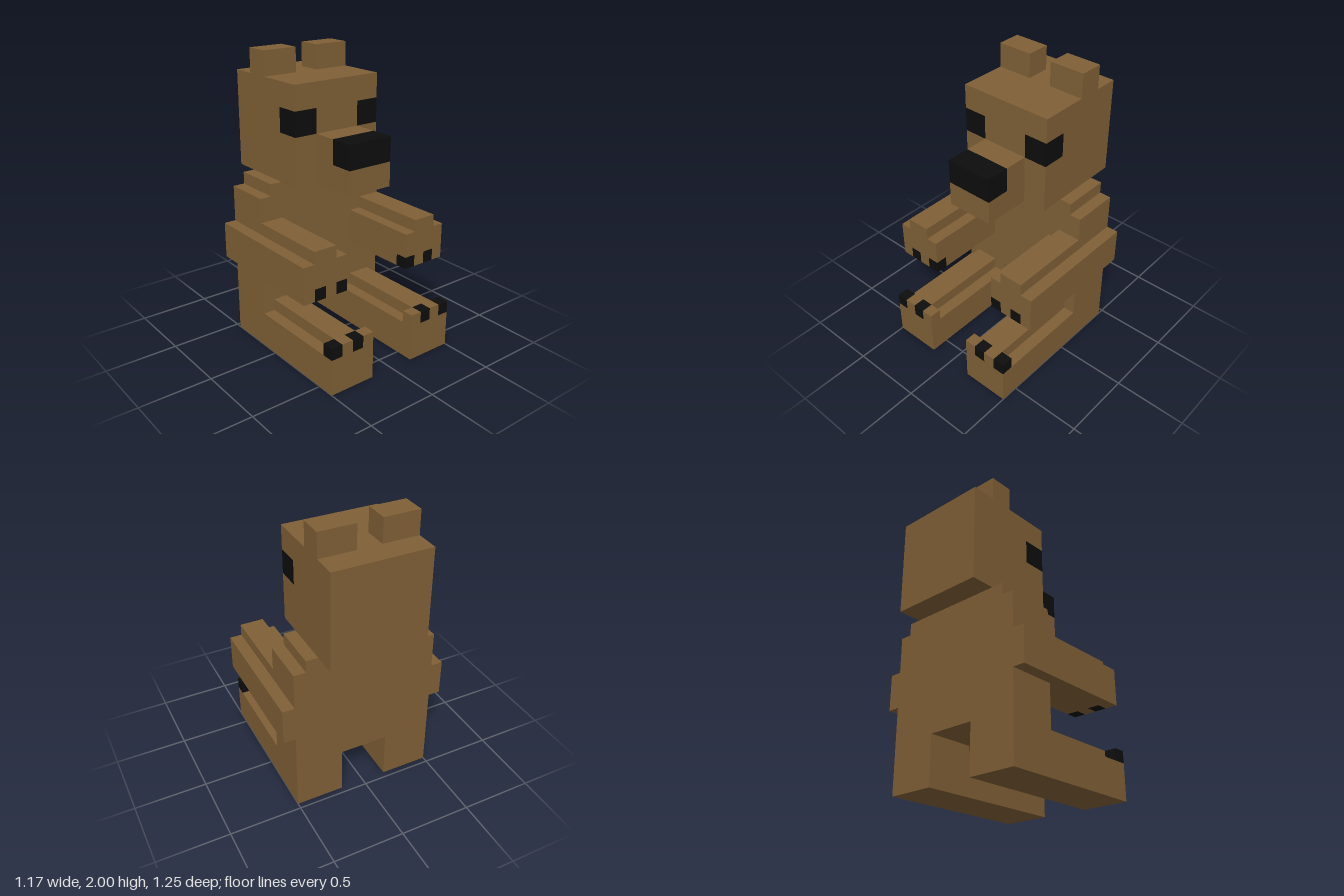
import * as THREE from 'three';

const U = 1 / 12; // size of one block

const fur = new THREE.MeshStandardMaterial({ color: 0x7f5f36 });
fur.name = 'brown fur';
const black = new THREE.MeshStandardMaterial({ color: 0x0d0d0d });
black.name = 'black';

// Box given by its block ranges [x0, x1], [y0, y1], [z0, z1]
function block(parent, name, material, [x0, x1], [y0, y1], [z0, z1]) {
  const mesh = new THREE.Mesh(
    new THREE.BoxGeometry((x1 - x0) * U, (y1 - y0) * U, (z1 - z0) * U), material);
  mesh.position.set((x0 + x1) / 2 * U, (y0 + y1) / 2 * U, (z0 + z1) / 2 * U);
  mesh.name = name;
  parent.add(mesh);
}

// The same box on the left (+x) and right (-x)
function pair(parent, name, material, [x0, x1], y, z) {
  block(parent, name + 'Left', material, [x0, x1], y, z);
  block(parent, name + 'Right', material, [-x1, -x0], y, z);
}

function group(parent, name) {
  const g = new THREE.Group();
  g.name = name;
  parent.add(g);
  return g;
}

export function createModel() {
  const model = new THREE.Group();
  model.name = 'blockBear';

  // Torso with narrower shoulders
  const body = group(model, 'body');
  block(body, 'torso', fur, [-6, 6], [4, 13], [-5.5, -1.5]);
  block(body, 'shoulders', fur, [-5, 5], [13, 14], [-5.5, -1.5]);

  // Head, built in layers around the corner eyes
  const head = group(model, 'head');
  block(head, 'jaw', fur, [-4, 4], [14, 18], [-7.5, 0.5]);
  block(head, 'headBack', fur, [-4, 4], [18, 20], [-7.5, -1.5]);
  block(head, 'brow', fur, [-2, 2], [18, 20], [-1.5, 0.5]);
  block(head, 'crown', fur, [-4, 4], [20, 22], [-7.5, 0.5]);
  pair(head, 'eye', black, [2, 4], [18, 20], [-1.5, 0.5]);
  pair(head, 'ear', fur, [1, 4], [22, 24], [-5.5, -3.5]);

  // Snout and nose
  block(head, 'mouth', fur, [-2, 2], [14, 16], [0.5, 4.5]);
  block(head, 'snoutBridge', fur, [-2, 2], [16, 18], [0.5, 2.5]);
  block(head, 'nose', black, [-2, 2], [16, 18], [2.5, 4.5]);

  // Arms: outer strip runs along the torso, the rest reaches forward
  const arms = group(model, 'arms');
  pair(arms, 'armSide', fur, [6, 7], [7, 10], [-5.5, 4.5]);
  pair(arms, 'foreArm', fur, [3, 6], [7, 10], [-1.5, 4.5]);
  pair(arms, 'armRidge', fur, [4, 6], [10, 11], [-1.5, 5.5]);
  pair(arms, 'paw', fur, [3, 7], [8, 10], [4.5, 5.5]);
  for (const x of [4, 6]) pair(arms, 'pawGap', fur, [x, x + 1], [7, 8], [4.5, 5.5]);
  for (const x of [3, 5]) pair(arms, 'pawClaw', black, [x, x + 1], [7, 8], [4.5, 5.5]);

  // Legs: haunch under the torso, stepped leg, full-height foot with claws
  const legs = group(model, 'legs');
  pair(legs, 'haunch', fur, [2, 6], [0, 4], [-5.5, -1.5]);
  pair(legs, 'leg', fur, [2, 6], [0, 3], [-1.5, 7.5]);
  pair(legs, 'legRidge', fur, [3, 5], [3, 4], [-1.5, 6.5]);
  for (const x of [2, 4]) pair(legs, 'toe', fur, [x, x + 1], [3, 4], [6.5, 7.5]);
  for (const x of [3, 5]) pair(legs, 'footClaw', black, [x, x + 1], [3, 4], [6.5, 7.5]);

  return model;
}
